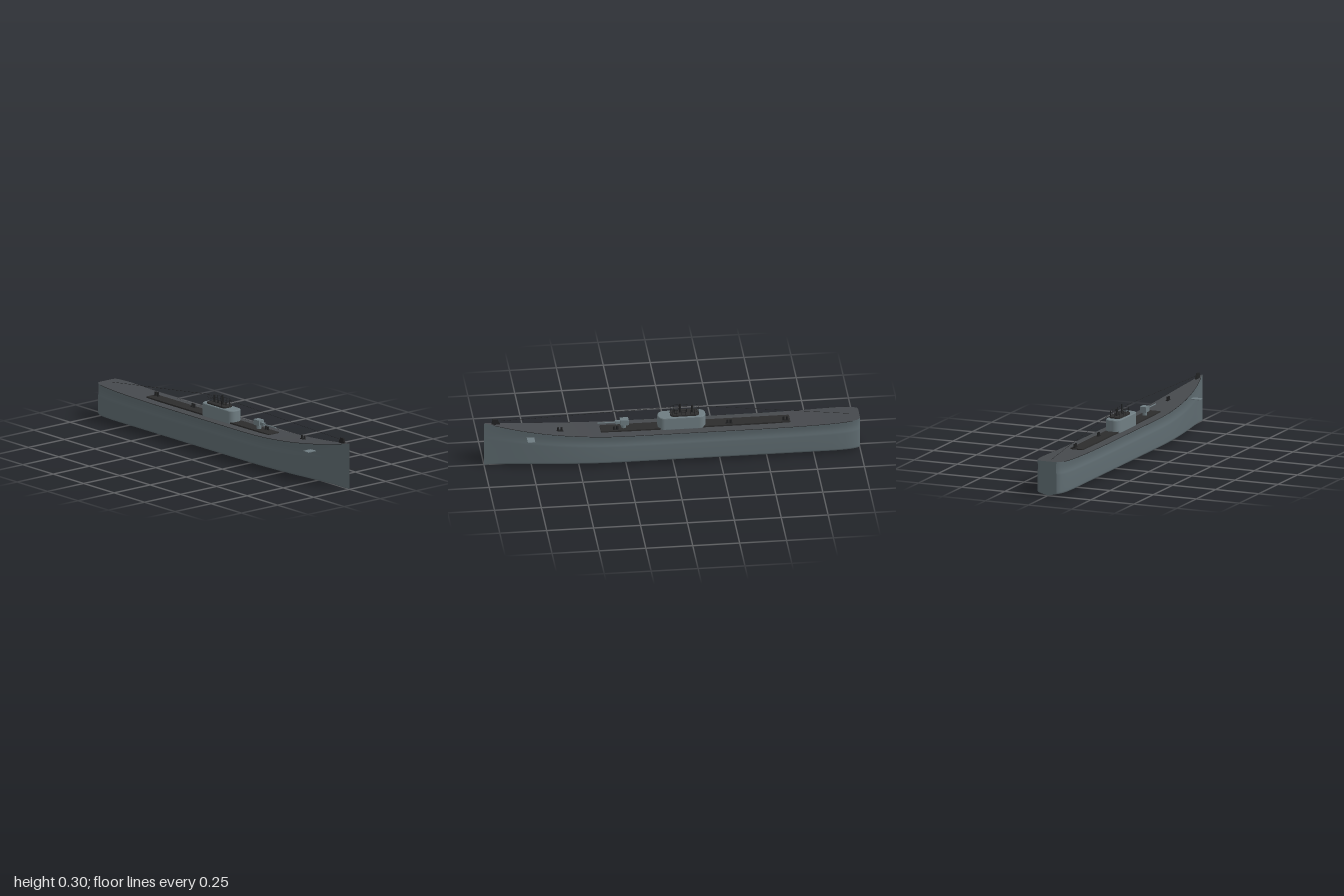
import * as THREE from 'three';

const mat = (name, color, side = THREE.FrontSide) => {
  const m = new THREE.MeshStandardMaterial({ color, side });
  m.name = name;
  return m;
};

export function createModel() {
  const hullGrey = mat('hullGrey', 0x5f6c71);
  const deckGrey = mat('deckGrey', 0x46494d);
  const casingDark = mat('casingDark', 0x2c2c2c);
  const towerGrey = mat('towerGrey', 0x6f7d82);
  const fittingDark = mat('fittingDark', 0x222324);

  const model = new THREE.Group();
  model.name = 'submarine';
  const add = (name, geo, material, x = 0, y = 0, z = 0, parent = model) => {
    const m = new THREE.Mesh(geo, material);
    m.name = name;
    m.position.set(x, y, z);
    parent.add(m);
    return m;
  };
  const surface = (pos, idx) => {
    const g = new THREE.BufferGeometry();
    g.setAttribute('position', new THREE.Float32BufferAttribute(pos, 3));
    g.setIndex(idx);
    g.computeVertexNormals();
    return g;
  };
  const rod = (name, a, b, r, material, parent = model) => {
    const p = new THREE.Vector3(...a), q = new THREE.Vector3(...b);
    const d = q.clone().sub(p);
    const m = add(name, new THREE.CylinderGeometry(r, r, d.length(), 8), material, 0, 0, 0, parent);
    m.position.copy(p).add(q).multiplyScalar(0.5);
    m.quaternion.setFromUnitVectors(new THREE.Vector3(0, 1, 0), d.normalize());
    return m;
  };

  // Stations along the hull: x, deck half-width, deck height
  const stations = [
    [-1, 0.05, 0.186], [-0.993, 0.061, 0.186], [-0.98, 0.069, 0.185], [-0.955, 0.077, 0.184],
    [-0.92, 0.083, 0.183], [-0.85, 0.087, 0.18], [-0.7, 0.087, 0.175], [-0.5, 0.087, 0.172],
    [-0.2, 0.087, 0.172], [0.1, 0.087, 0.172], [0.3, 0.087, 0.173], [0.4, 0.084, 0.176],
    [0.5, 0.079, 0.182], [0.6, 0.071, 0.19], [0.7, 0.06, 0.201], [0.8, 0.045, 0.215],
    [0.88, 0.029, 0.228], [0.95, 0.013, 0.241], [1, 0.0005, 0.25],
  ];
  // Half section: share of half-width, share of deck height
  const section = [
    [0, 0], [0.5, 0.04], [0.93, 0.075], [0.985, 0.095], [1, 0.14], [1, 0.35], [1, 0.62],
    [0.985, 0.68], [0.955, 0.74], [0.955, 0.84], [0.98, 0.92], [1, 1],
  ];
  const ring = ([x, w, h]) => {
    const bow = Math.max(0, (x - 0.3) / 0.7);
    const half = section.map(([u, v]) => {
      const flare = 1 - 0.3 * bow * bow * (1 - v);
      return [x, v < 0.15 ? v * 0.172 * (1 - bow ** 6 * 0.9) : v * h, u * w * flare];
    });
    const far = half.slice(1).reverse().map(([a, b, c]) => [a, b, -c]);
    return [...far, ...half];
  };
  const rings = stations.map(ring);
  const n = rings[0].length;

  // Hull sides and bottom
  const hullIdx = [];
  for (let i = 0; i < rings.length - 1; i++) {
    for (let j = 0; j < n - 1; j++) {
      const a = i * n + j, b = a + n;
      hullIdx.push(a, b, b + 1, a, b + 1, a + 1);
    }
  }
  add('hull', surface(rings.flat(2), hullIdx), hullGrey);

  // Stern plate
  const sternIdx = [];
  for (let j = 1; j < n; j++) sternIdx.push(0, j, j + 1);
  sternIdx.push(0, n, 1);
  add('sternPlate', surface([-1, 0.1, 0, ...rings[0].flat()], sternIdx), hullGrey);

  // Deck following the sheer line
  const deckPos = [], deckIdx = [];
  stations.forEach(([x, w, h], i) => {
    deckPos.push(x, h, -w, x, h, w);
    const a = 2 * i;
    if (i) deckIdx.push(a - 2, a - 1, a + 1, a - 2, a + 1, a);
  });
  add('deck', surface(deckPos, deckIdx), deckGrey);

  // Dark edge along both sides of the deck
  for (const s of [1, -1]) {
    const path = new THREE.CatmullRomCurve3(
      stations.slice(3, -1).map(([x, w, h]) => new THREE.Vector3(x, h - 0.001, s * w)));
    add('deckEdge', new THREE.TubeGeometry(path, 80, 0.0014, 6), fittingDark);
  }

  // Upright prism with rounded corners, spanning x0..x1 and y0..y1
  const roundedPlan = (x0, x1, hz, r) => {
    const s = new THREE.Shape();
    s.moveTo(x0 + r, -hz);
    s.lineTo(x1 - r, -hz);
    s.absarc(x1 - r, -hz + r, r, -Math.PI / 2, 0);
    s.absarc(x1 - r, hz - r, r, 0, Math.PI / 2);
    s.absarc(x0 + r, hz - r, r, Math.PI / 2, Math.PI);
    s.absarc(x0 + r, -hz + r, r, Math.PI, Math.PI * 1.5);
    return s;
  };
  const block = (name, x0, x1, hz, r, y0, y1, material, bevel = 0) => {
    const g = new THREE.ExtrudeGeometry(roundedPlan(x0 + bevel, x1 - bevel, hz - bevel, r), {
      depth: y1 - y0 - 2 * bevel, curveSegments: 10, bevelEnabled: bevel > 0,
      bevelSize: bevel, bevelThickness: bevel, bevelSegments: 3,
    });
    g.rotateX(-Math.PI / 2);
    return add(name, g, material, 0, y0 + bevel, 0);
  };
  block('deckCasing', -0.63, 0.38, 0.036, 0.006, 0.165, 0.18, casingDark);
  block('conningTower', -0.18, 0.075, 0.043, 0.03, 0.168, 0.243, towerGrey, 0.006);
  block('bridgePlatform', -0.145, 0.008, 0.033, 0.022, 0.24, 0.251, casingDark);

  // Bridge railing
  const railing = new THREE.Group();
  railing.name = 'bridgeRailing';
  model.add(railing);
  const railPoints = roundedPlan(-0.143, 0.006, 0.032, 0.022).getSpacedPoints(16).slice(0, -1);
  for (const y of [0.265, 0.28]) {
    const path = new THREE.CatmullRomCurve3(railPoints.map(p => new THREE.Vector3(p.x, y, p.y)), true);
    add('rail', new THREE.TubeGeometry(path, 64, 0.0007, 5, true), fittingDark, 0, 0, 0, railing);
  }
  railPoints.forEach(p => rod('railPost', [p.x, 0.25, p.y], [p.x, 0.28, p.y], 0.0007, fittingDark, railing));

  // Periscopes and masts
  for (const [x, top, r] of [[-0.11, 0.29, 0.006], [-0.045, 0.302, 0.0045], [-0.08, 0.27, 0.003], [-0.015, 0.27, 0.003]]) {
    rod('mast', [x, 0.245, 0], [x, top, 0], r, fittingDark);
  }

  // Deck gun
  rod('gunPedestal', [0.255, 0.175, 0], [0.255, 0.205, 0], 0.013, towerGrey);
  add('gunShield', new THREE.BoxGeometry(0.045, 0.03, 0.036), towerGrey, 0.252, 0.215, 0);
  add('gunBreech', new THREE.BoxGeometry(0.03, 0.016, 0.016), towerGrey, 0.285, 0.212, 0);
  rod('gunBarrel', [0.28, 0.212, 0], [0.395, 0.212, 0], 0.0035, towerGrey);

  // Paired bollards along the far side of the deck
  for (const [x, y] of [[-0.605, 0.178], [-0.305, 0.178], [0.3, 0.176], [0.597, 0.188]]) {
    add('bollardBase', new THREE.BoxGeometry(0.036, 0.004, 0.014), fittingDark, x, y + 0.002, -0.018);
    for (const s of [-1, 1]) {
      rod('bollardPost', [x + s * 0.009, y, -0.018], [x + s * 0.009, y + 0.022, -0.018], 0.0055, fittingDark);
    }
  }

  // Bow diving planes
  for (const s of [1, -1]) {
    add('bowPlane', new THREE.BoxGeometry(0.04, 0.004, 0.07), towerGrey, 0.757, 0.173, s * 0.065);
  }

  // Bow fairlead, a small tapered block
  const cleat = new THREE.Shape([[-0.025, 0], [0.022, 0], [0.014, 0.03], [-0.01, 0.03]].map(p => new THREE.Vector2(...p)));
  add('bowFairlead', new THREE.ExtrudeGeometry(cleat, { depth: 0.01, bevelEnabled: false }), fittingDark, 0.938, 0.24, -0.005);

  // Aerial wires
  rod('aftWire', [-0.95, 0.187, 0], [-0.143, 0.285, 0], 0.0009, fittingDark);
  rod('foreWire', [0.006, 0.285, 0], [0.94, 0.258, 0], 0.0009, fittingDark);

  return model;
}
